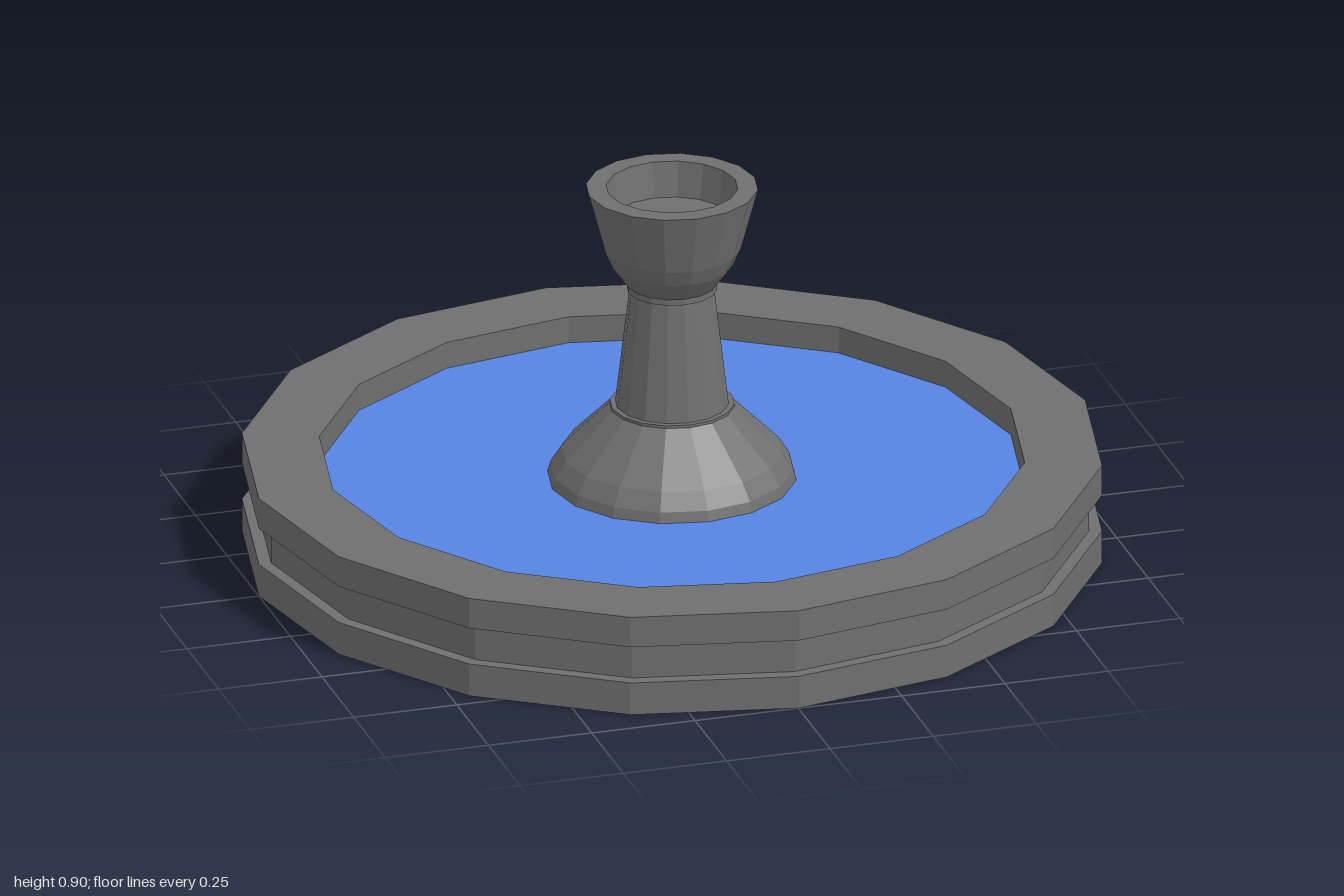
import * as THREE from 'three';

const SIDES = 16;
const stone = new THREE.MeshStandardMaterial({ color: 0x6f6f6f, flatShading: true });
const blue = new THREE.MeshStandardMaterial({ color: 0x5584e4, flatShading: true });

// Turned part from [radius, height] pairs, listed up the outside and down the inside
function turned(name, profile) {
  const points = profile.map(([r, y]) => new THREE.Vector2(r, y));
  const mesh = new THREE.Mesh(new THREE.LatheGeometry(points, SIDES), stone);
  mesh.name = name;
  return mesh;
}

export function createModel() {
  const fountain = new THREE.Group();
  fountain.name = 'fountain';

  // Round basin with a groove around its outer wall
  fountain.add(turned('basin', [
    [0, 0], [1, 0], [1, 0.08], [0.97, 0.08], [0.97, 0.17], [1, 0.17],
    [1, 0.245], [0.82, 0.245], [0.82, 0.16], [0, 0.16],
  ]));

  // Water surface inside the basin
  const water = new THREE.Mesh(new THREE.CircleGeometry(0.82, SIDES), blue);
  water.name = 'water';
  water.rotation.x = -Math.PI / 2;
  water.position.y = 0.18;
  fountain.add(water);

  // Flared foot of the pedestal
  fountain.add(turned('pedestalFoot', [
    [0.292, 0.17], [0.283, 0.205], [0.257, 0.245], [0.145, 0.358], [0.145, 0.365], [0, 0.365],
  ]));

  // Tapering stem
  fountain.add(turned('stem', [[0.132, 0.365], [0.098, 0.655]]));

  // Rounded cup with a shallow hollow
  fountain.add(turned('cup', [
    [0, 0.65], [0.105, 0.65], [0.105, 0.665], [0.142, 0.715], [0.16, 0.755], [0.2, 0.905],
    [0.153, 0.905], [0.14, 0.82], [0, 0.82],
  ]));

  return fountain;
}
